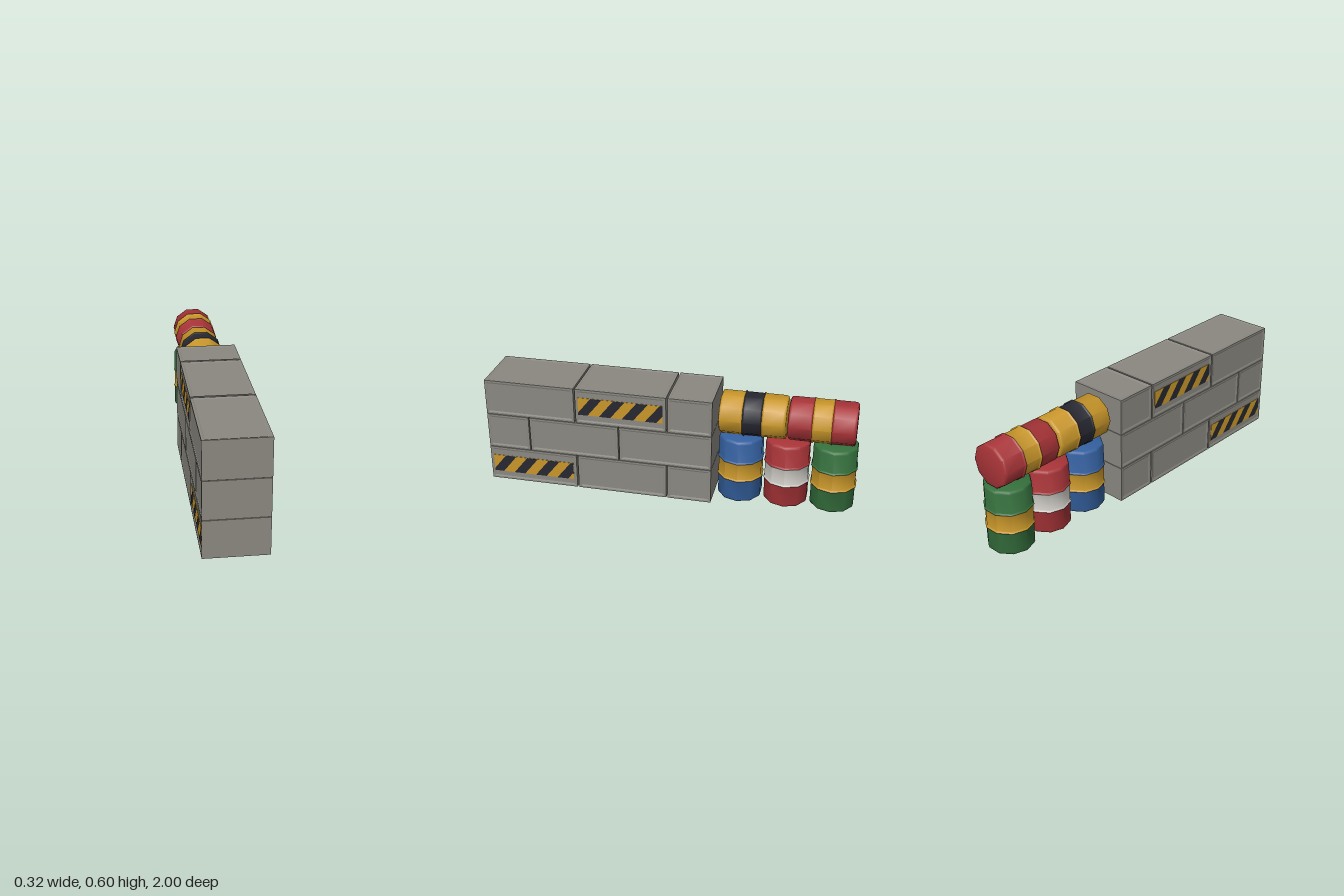
import * as THREE from 'three';
import { toCreasedNormals } from 'three/addons/utils/BufferGeometryUtils.js';

const paint = (name, color) => Object.assign(new THREE.MeshStandardMaterial({ color }), { name });
const concrete = paint('concrete', 0x8a8880);
const yellow = paint('yellow', 0xc8962a);
const black = paint('black', 0x262730);
const red = paint('red', 0xa83438);
const blue = paint('blue', 0x34609f);
const green = paint('green', 0x35703d);
const white = paint('white', 0xcdcac4);

const HALF_WIDTH = 0.162;

// Box whose side, top and bottom faces carry a shallow sunken panel
function blockGeometry(w, h, d) {
  const half = new THREE.Vector3(w / 2, h / 2, d / 2);
  const pos = [];
  const faces = [
    [[1, 0, 0], [0, 1, 0], true], [[-1, 0, 0], [0, 1, 0], true],
    [[0, 1, 0], [0, 0, 1], true], [[0, -1, 0], [0, 0, 1], true],
    [[0, 0, 1], [1, 0, 0], false], [[0, 0, -1], [1, 0, 0], false],
  ];
  for (const [nn, uu, sunken] of faces) {
    const n = new THREE.Vector3(...nn), u = new THREE.Vector3(...uu);
    const v = n.clone().cross(u);
    const size = (a) => Math.abs(a.dot(half));
    const size3 = (a) => Math.abs(a.x) * half.x + Math.abs(a.y) * half.y + Math.abs(a.z) * half.z;
    const loop = (inset, depth) => [[-1, -1], [1, -1], [1, 1], [-1, 1]].map(([a, b]) =>
      n.clone().multiplyScalar(size(n) - depth)
        .addScaledVector(u, a * (size3(u) - inset))
        .addScaledVector(v, b * (size3(v) - inset)));
    const quad = (a, b, c, e) => [a, b, c, a, c, e].forEach((p) => pos.push(p.x, p.y, p.z));
    const loops = sunken ? [loop(0, 0), loop(0.01, 0), loop(0.018, 0.003)] : [loop(0, 0)];
    for (let i = 0; i + 1 < loops.length; i++) {
      for (let k = 0; k < 4; k++) {
        const m = (k + 1) % 4;
        quad(loops[i][k], loops[i][m], loops[i + 1][m], loops[i + 1][k]);
      }
    }
    quad(...loops[loops.length - 1]);
  }
  const g = new THREE.BufferGeometry();
  g.setAttribute('position', new THREE.Float32BufferAttribute(pos, 3));
  g.computeVertexNormals();
  return g;
}

// Flat sign with slanted stripes, facing +z and centred on its origin
function hazardSign() {
  const W = 0.46, H = 0.1, slant = 0.08, stripe = 0.062, period = 0.125;
  const sign = new THREE.Group();
  sign.name = 'hazardSign';
  const plate = new THREE.Mesh(new THREE.BoxGeometry(W, H, 0.002), yellow);
  plate.name = 'signPlate';
  sign.add(plate);
  for (let i = 0; i < 4; i++) {
    const s = -0.01 + i * period;
    const shape = new THREE.Shape();
    // Clip the slanted stripe at the left and right edges of the plate
    const pts = [];
    if (s < 0) pts.push([0, 0], [s + stripe, 0]);
    else pts.push([s, 0], [s + stripe, 0]);
    const topRight = s + slant + stripe;
    if (topRight > W) pts.push([W, (H * (W - s - stripe)) / slant], [W, H]);
    else pts.push([topRight, H]);
    pts.push([s + slant, H]);
    if (s < 0) pts.push([0, (-s * H) / slant]);
    shape.setFromPoints(pts.map(([x, y]) => new THREE.Vector2(x - W / 2, y - H / 2)));
    const mesh = new THREE.Mesh(new THREE.ShapeGeometry(shape), black);
    mesh.name = 'signStripe';
    mesh.position.z = 0.002;
    sign.add(mesh);
  }
  return sign;
}

// Ten-sided drum standing on its origin, with a ridge at each colour change
function barrel(name, endColor, bandColor) {
  const H = 0.365, R = 0.121, P = 0.127, y1 = 0.13, y2 = 0.235, e = 0.008;
  const bands = [
    ['lowerDrum', endColor, [[0, 0], [R - 0.015, 0], [R - 0.004, 0.005], [R, 0.016], [R, y1 - e], [P, y1]]],
    ['middleBand', bandColor, [[P, y1], [R, y1 + e], [R, y2 - e], [P, y2]]],
    ['upperDrum', endColor, [[P, y2], [R, y2 + e], [R, H - 0.016], [R - 0.004, H - 0.005], [R - 0.015, H], [0, H]]],
  ];
  const group = new THREE.Group();
  group.name = name;
  for (const [part, color, pts] of bands) {
    const lathe = new THREE.LatheGeometry(pts.map((p) => new THREE.Vector2(...p)), 10, Math.PI / 2);
    const mesh = new THREE.Mesh(toCreasedNormals(lathe, 0.85), color);
    mesh.name = part;
    group.add(mesh);
  }
  return group;
}

export function createModel() {
  const model = new THREE.Group();
  model.name = 'barricade';

  // Three courses of concrete blocks, the middle one staggered
  const wall = new THREE.Group();
  wall.name = 'blockWall';
  const straight = [[1, 0.505], [0.496, 0.004], [-0.005, -0.24]];
  const staggered = [[1, 0.766], [0.76, 0.266], [0.26, -0.24]];
  [straight, staggered, straight].forEach((course, row) => {
    for (const [front, back] of course) {
      const block = new THREE.Mesh(blockGeometry(HALF_WIDTH * 2, 0.198, front - back), concrete);
      block.name = 'concreteBlock';
      block.position.set(0, 0.103 + row * 0.201, (front + back) / 2);
      wall.add(block);
    }
  });
  model.add(wall);

  // Striped signs on both sides of the wall
  for (const side of [1, -1]) {
    for (const [y, z] of [[0.1, 0.755], [0.505, 0.252]]) {
      const sign = hazardSign();
      sign.position.set(side * (HALF_WIDTH - 0.002), y, z);
      sign.rotation.y = (side * Math.PI) / 2;
      model.add(sign);
    }
  }

  // Standing barrels
  [[blue, yellow], [red, white], [green, yellow]].forEach(([end, band], i) => {
    const b = barrel('standingBarrel', end, band);
    b.position.z = -0.375 - i * 0.25;
    model.add(b);
  });

  // Barrels lying end to end on top
  [[yellow, black, -0.262], [red, yellow, -0.623]].forEach(([end, band, z]) => {
    const b = barrel('lyingBarrel', end, band);
    b.scale.setScalar(0.965);
    b.rotation.x = -Math.PI / 2;
    b.position.set(0, 0.482, z);
    model.add(b);
  });

  return model;
}
